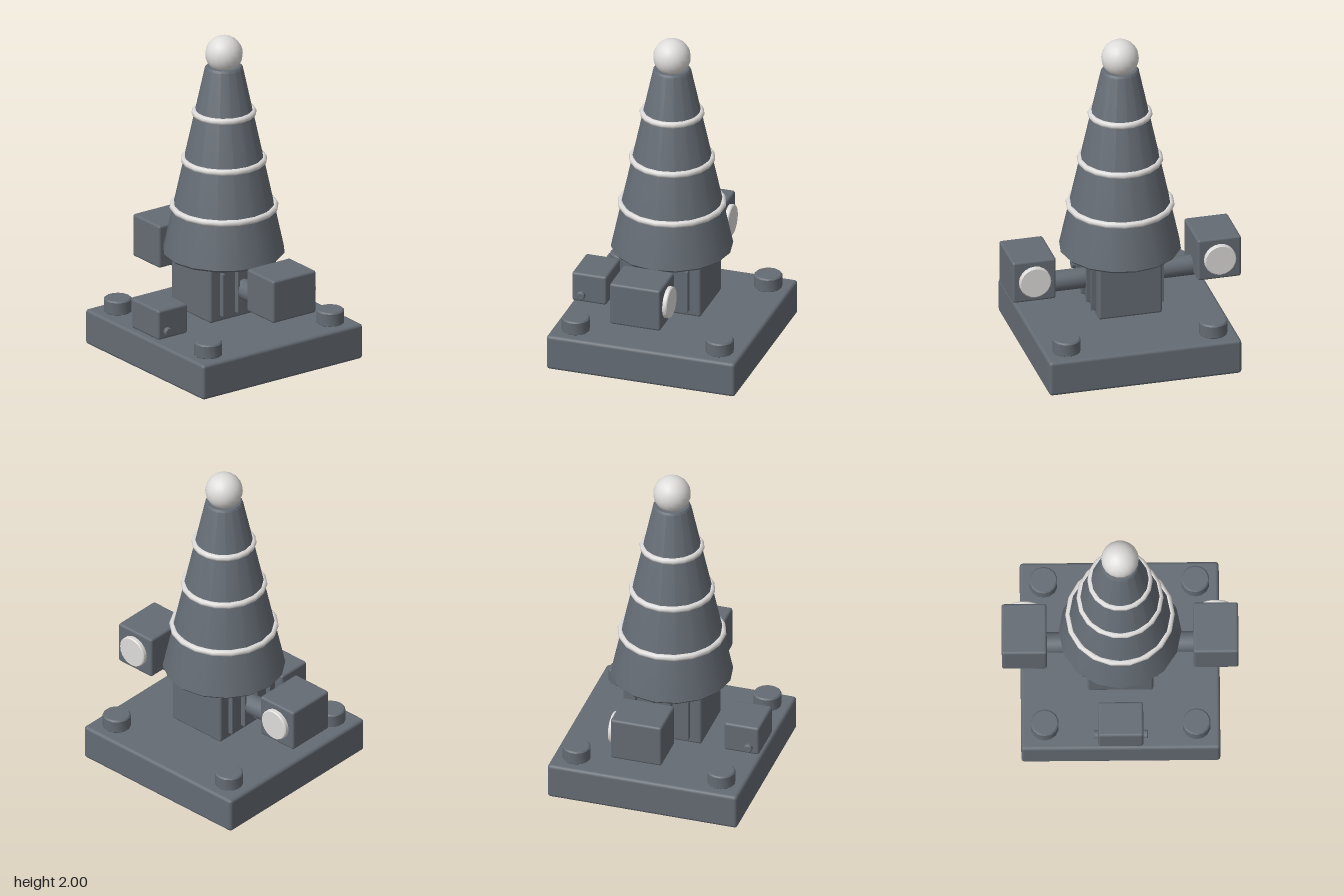
import * as THREE from 'three';
import { toCreasedNormals } from 'three/addons/utils/BufferGeometryUtils.js';
import { RoundedBoxGeometry } from 'three/addons/geometries/RoundedBoxGeometry.js';

export function createModel() {
  const model = new THREE.Group();
  model.name = 'beaconTower';

  const darkMetal = new THREE.MeshStandardMaterial({ color: 0x646b73 });
  darkMetal.name = 'dark metal';
  const paleGlass = new THREE.MeshStandardMaterial({ color: 0xdedcda });
  paleGlass.name = 'pale glass';

  function add(name, geometry, material, x, y, z) {
    const mesh = new THREE.Mesh(geometry, material);
    mesh.name = name;
    mesh.position.set(x, y, z);
    model.add(mesh);
    return mesh;
  }
  const box = (w, h, d, r = 0.015) => new RoundedBoxGeometry(w, h, d, 2, r);

  // Solid of revolution with crisp rims
  const turned = (profile, sides) => toCreasedNormals(
    new THREE.LatheGeometry(profile.map(([r, y]) => new THREE.Vector2(r, y)), sides), 0.56);

  // Cylinder with chamfered ends, centred on its own axis
  function roundBar(radius, length, bevel, sides) {
    const h = length / 2;
    return turned([[0, -h], [radius - bevel, -h], [radius, -h + bevel],
      [radius, h - bevel], [radius - bevel, h], [0, h]], sides);
  }

  // Base slab and corner pads
  add('base', box(1.18, 0.22, 1.18, 0.02), darkMetal, 0, 0.11, 0);
  for (const x of [-0.45, 0.45]) {
    for (const z of [-0.45, 0.45]) {
      add('cornerPad', roundBar(0.084, 0.09, 0.008, 14), darkMetal, x, 0.26, z);
    }
  }

  // Central body with cooling fins
  add('body', box(0.39, 0.34, 0.49), darkMetal, 0, 0.457, 0);
  for (const side of [-1, 1]) {
    for (const z of [-0.165, -0.055, 0.055, 0.165]) {
      add('coolingFin', box(0.06, 0.27, 0.018, 0.004), darkMetal, side * 0.195, 0.457, z);
    }
  }

  // Side arms, lamp boxes and their rear lenses
  for (const side of [-1, 1]) {
    add('arm', roundBar(0.062, 0.4, 0.005, 12), darkMetal, side * 0.343, 0.457, 0)
      .rotation.z = Math.PI / 2;
    add('lampBox', box(0.267, 0.267, 0.318), darkMetal, side * 0.568, 0.557, -0.003);
    add('lens', roundBar(0.097, 0.05, 0.006, 20), paleGlass, side * 0.568, 0.557, -0.165)
      .rotation.x = Math.PI / 2;
  }

  // Front control box with a through pin
  add('frontBox', box(0.268, 0.187, 0.217), darkMetal, 0, 0.332, 0.474);
  add('frontPin', roundBar(0.026, 0.32, 0.004, 10), darkMetal, 0, 0.286, 0.52)
    .rotation.z = Math.PI / 2;

  // Tapered tower
  add('tower', turned([[0, 0.632], [0.352, 0.632], [0.364, 0.645],
    [0.114, 1.8], [0.104, 1.813], [0, 1.813]], 16), darkMetal, 0, 0, 0);

  // Pale rings around the tower
  for (const [y, radius] of [[0.925, 0.305], [1.222, 0.238], [1.52, 0.174]]) {
    add('ring', new THREE.TorusGeometry(radius, 0.02, 8, 18), paleGlass, 0, y, 0)
      .rotation.x = Math.PI / 2;
  }

  // Globe on top
  add('globe', new THREE.SphereGeometry(0.112, 18, 14), paleGlass, 0, 1.888, 0);

  return model;
}
